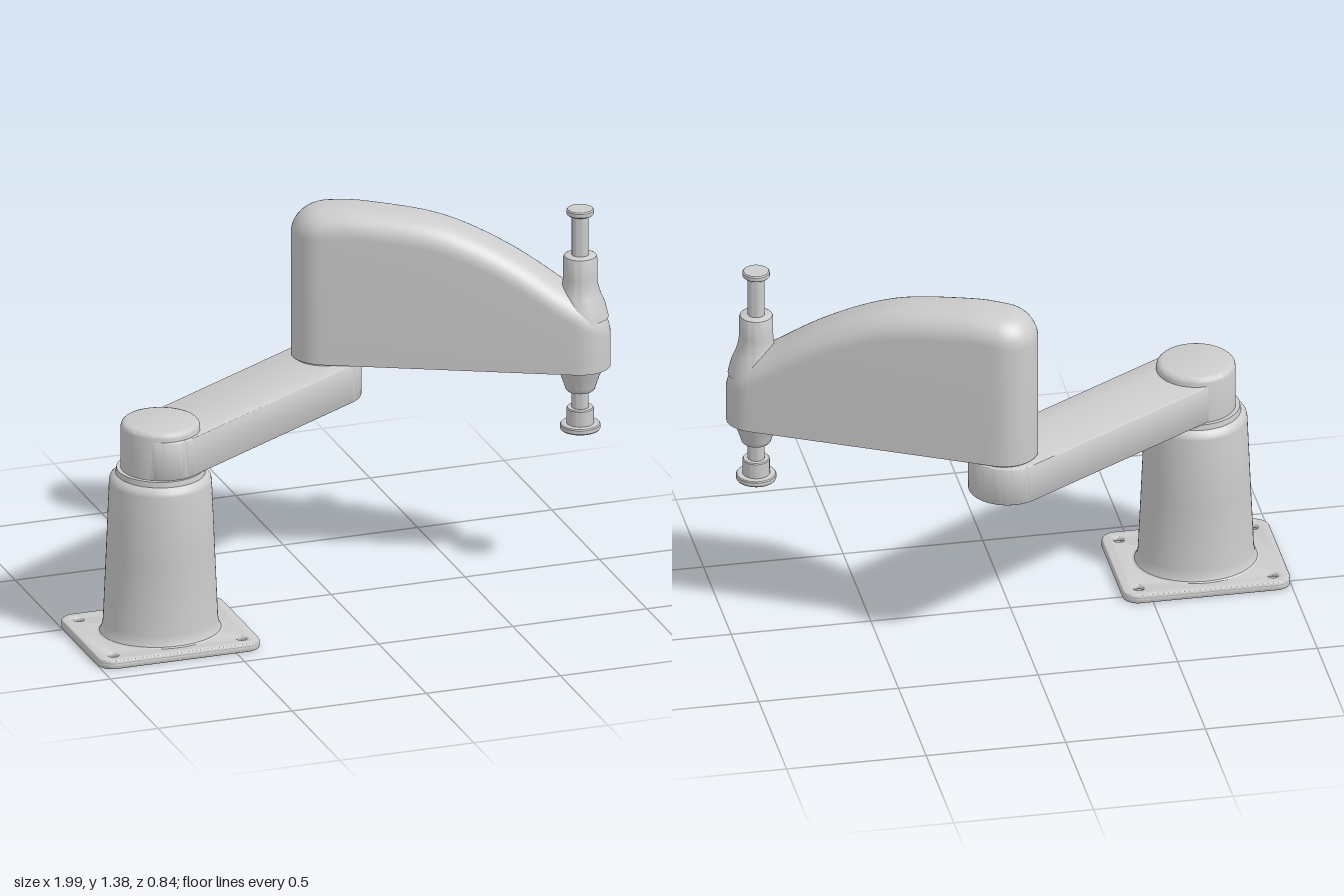
import * as THREE from 'three';
import { toCreasedNormals } from 'three/addons/utils/BufferGeometryUtils.js';

const material = new THREE.MeshStandardMaterial({ color: 0xcccccc });

function add(parent, name, geometry, crease = 0.6) {
  const mesh = new THREE.Mesh(toCreasedNormals(geometry, crease), material);
  mesh.name = name;
  parent.add(mesh);
  return mesh;
}

// Turned part from [radius, y] pairs, bottom to top
function turned(points, segments = 48) {
  return new THREE.LatheGeometry(points.map(([r, y]) => new THREE.Vector2(r, y)), segments);
}

// Horizontal plate: shape y becomes z
function slab(shape, bottom, top, bevel) {
  const g = new THREE.ExtrudeGeometry(shape, {
    depth: top - bottom - 2 * bevel, bevelEnabled: bevel > 0, bevelSize: bevel,
    bevelThickness: bevel, bevelOffset: -bevel, bevelSegments: 4, curveSegments: 24,
  });
  return g.rotateX(Math.PI / 2).translate(0, top - bevel, 0);
}

function roundedRect(w, h, r, target = new THREE.Shape()) {
  const x = w / 2 - r, y = h / 2 - r;
  target.absarc(x, y, r, 0, Math.PI / 2);
  target.absarc(-x, y, r, Math.PI / 2, Math.PI);
  target.absarc(-x, -y, r, Math.PI, Math.PI * 1.5);
  target.absarc(x, -y, r, Math.PI * 1.5, Math.PI * 2);
  target.closePath();
  return target;
}

// Tall arm housing: inset stadium rings rising to a rounded, sloping top
function housingGeometry(length, r0, r1, bottom, fillet) {
  const crest = new THREE.SplineCurve([
    [-0.13, 1.34], [0.02, 1.358], [0.13, 1.36], [0.36, 1.335], [0.52, 1.285],
    [0.69, 1.2], [0.85, 1.095], [0.93, 1.05], [1.02, 1.0],
  ].map(([s, y]) => new THREE.Vector2(s, y))).getPoints(100);
  const crestAt = (s) => {
    const i = Math.max(1, crest.findIndex((p) => p.x >= s));
    const a = crest[i - 1], b = crest[i];
    return THREE.MathUtils.mapLinear(s, a.x, b.x, a.y, b.y);
  };

  // Outline samples: centre on the axis, outward direction, radius
  const outline = [];
  const arc = 16, straight = 24;
  for (let i = 0; i <= arc; i++) outline.push([length, -Math.PI / 2 + (i / arc) * Math.PI, r1]);
  for (let i = 1; i < straight; i++) {
    const t = 1 - i / straight;
    outline.push([length * t, Math.PI / 2, r0 + (r1 - r0) * t]);
  }
  for (let i = 0; i <= arc; i++) outline.push([0, Math.PI / 2 + (i / arc) * Math.PI, r0]);
  for (let i = 1; i < straight; i++) {
    const t = i / straight;
    outline.push([length * t, -Math.PI / 2, r0 + (r1 - r0) * t]);
  }

  // Rings: [inset, drop below the crest], null drop sits on the flat underside
  const rings = [[1, null], [0, null]];
  for (let i = 0; i <= 10; i++) {
    const a = (i / 10) * Math.PI / 2;
    rings.push([fillet * (1 - Math.cos(a)), fillet * (1 - Math.sin(a))]);
  }
  rings.push([1, 0]);

  const positions = [], index = [], n = outline.length;
  rings.forEach(([inset, drop], k) => {
    outline.forEach(([c, angle, r], i) => {
      const d = Math.max(0, r - inset);
      const s = c + Math.cos(angle) * d;
      positions.push(s, drop === null ? bottom : crestAt(s) - drop, Math.sin(angle) * d);
      if (k === 0) return;
      const j = (i + 1) % n, lo = (k - 1) * n, hi = k * n;
      index.push(lo + i, hi + i, lo + j, lo + j, hi + i, hi + j);
    });
  });
  const g = new THREE.BufferGeometry();
  g.setAttribute('position', new THREE.Float32BufferAttribute(positions, 3));
  g.setIndex(index);
  return g;
}

export function createModel() {
  const model = new THREE.Group();
  model.name = 'robotArm';

  // Pedestal: mounting plate with bolt holes and a hollow underside
  const pedestal = new THREE.Group();
  pedestal.name = 'pedestal';
  pedestal.position.set(-0.7, 0, 0.18);
  model.add(pedestal);

  const plate = roundedRect(0.6, 0.48, 0.055);
  for (const x of [-0.24, 0.24]) {
    for (const y of [-0.18, 0.18]) {
      plate.holes.push(new THREE.Path().absarc(x, y, 0.018, 0, Math.PI * 2, true));
    }
  }
  add(pedestal, 'basePlate', slab(plate, 0.012, 0.032, 0.008));
  const rim = roundedRect(0.6, 0.48, 0.055);
  rim.holes.push(roundedRect(0.54, 0.42, 0.035, new THREE.Path()));
  add(pedestal, 'basePlateRim', slab(rim, 0, 0.022, 0.004));

  // Column: tapers across x only, with a flared foot and stepped shoulder
  const column = turned([
    [0.228, 0.03], [0.217, 0.036], [0.21, 0.05], [0.205, 0.075], [0.193, 0.33], [0.181, 0.595],
    [0.178, 0.608], [0.168, 0.618], [0.158, 0.625], [0.155, 0.645], [0, 0.645],
  ], 64);
  const p = column.attributes.position;
  for (let i = 0; i < p.count; i++) {
    const y = p.getY(i);
    const taper = THREE.MathUtils.mapLinear(Math.min(y, 0.6), 0.07, 0.6, 0.205, 0.18);
    p.setZ(i, p.getZ(i) * 0.18 / taper);
  }
  add(pedestal, 'column', column);

  add(pedestal, 'shoulderCap', turned([
    [0, 0.64], [0.14, 0.64], [0.14, 0.8], [0.137, 0.81], [0.13, 0.817], [0.12, 0.82], [0, 0.82],
  ]));

  // Lower link: flat stadium bar from shoulder to elbow
  const link = new THREE.Shape();
  const from = [-0.692, 0.188], to = [0.067, -0.282];
  const heading = Math.atan2(to[1] - from[1], to[0] - from[0]);
  link.absarc(...to, 0.138, heading - Math.PI / 2, heading + Math.PI / 2);
  link.absarc(...from, 0.138, heading + Math.PI / 2, heading + Math.PI * 1.5);
  link.closePath();
  add(model, 'lowerLink', slab(link, 0.643, 0.788, 0.006));

  // Upper arm
  const arm = new THREE.Group();
  arm.name = 'upperArm';
  arm.position.set(0.08, 0, -0.29);
  arm.rotation.y = -Math.atan2(0.405, 0.808);
  model.add(arm);
  const reach = Math.hypot(0.405, 0.808);
  add(arm, 'elbowPivot', turned([[0, 0.77], [0.11, 0.77], [0.11, 0.8], [0, 0.8]]));
  add(arm, 'armHousing', housingGeometry(reach, 0.12, 0.107, 0.795, 0.09));

  // Spindle through the end of the arm
  const spindle = new THREE.Group();
  spindle.name = 'spindle';
  spindle.position.x = reach;
  arm.add(spindle);
  add(spindle, 'noseCollar', turned([
    [0, 0.7], [0.046, 0.7], [0.052, 0.706], [0.056, 0.72], [0.068, 0.755], [0.08, 0.785], [0.088, 0.81],
  ]));
  add(spindle, 'upperSleeve', turned([
    [0.1, 0.98], [0.088, 1.03], [0.073, 1.065], [0.063, 1.1], [0.06, 1.13],
    [0.06, 1.2], [0.057, 1.208], [0.05, 1.212], [0, 1.212],
  ]));
  add(spindle, 'rod', turned([[0, 0.6], [0.03, 0.6], [0.03, 1.37], [0, 1.37]], 24));
  add(spindle, 'rodCap', turned([
    [0, 1.362], [0.044, 1.362], [0.048, 1.366], [0.048, 1.38], [0.044, 1.384], [0, 1.384],
  ]));
  add(spindle, 'toolFlange', turned([
    [0, 0.553], [0.068, 0.553], [0.071, 0.557], [0.071, 0.571], [0.068, 0.575],
    [0.048, 0.576], [0.048, 0.632], [0.045, 0.636], [0, 0.636],
  ]));

  return model;
}
